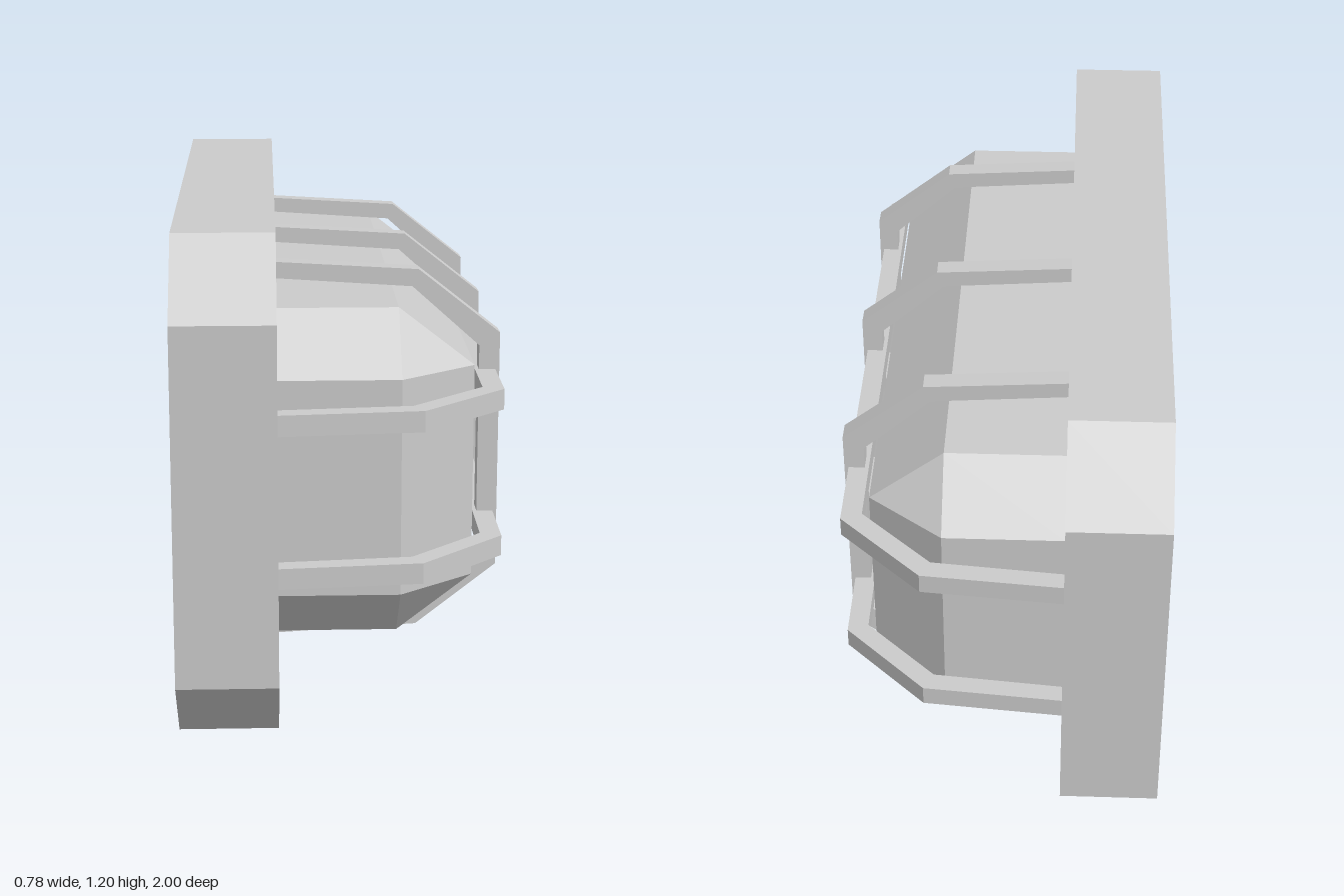
import * as THREE from 'three';

const MID_Y = 0.6;

// Chamfered rectangle across x, running from +y towards +z
function octagon(x, halfY, halfZ, cut) {
  const a = halfY - cut, b = halfZ - cut;
  return [
    [halfY, -b], [halfY, b], [a, halfZ], [-a, halfZ],
    [-halfY, b], [-halfY, -b], [-a, -halfZ], [a, -halfZ],
  ].map(([y, z]) => [x, MID_Y + y, z]);
}

// Flat-shaded skin through successive sections, optionally closed at the end
function loft(sections, capEnd) {
  const pos = [];
  const tri = (a, b, c) => pos.push(...a, ...b, ...c);
  for (let s = 0; s < sections.length - 1; s++) {
    const p = sections[s], q = sections[s + 1];
    for (let i = 0; i < p.length; i++) {
      const j = (i + 1) % p.length;
      tri(p[i], p[j], q[j]);
      tri(p[i], q[j], q[i]);
    }
  }
  if (capEnd) {
    const e = sections[sections.length - 1];
    for (let i = 1; i < e.length - 1; i++) tri(e[0], e[i], e[i + 1]);
  }
  const g = new THREE.BufferGeometry();
  g.setAttribute('position', new THREE.Float32BufferAttribute(pos, 3));
  g.computeVertexNormals();
  return g;
}

// Bent bar: half of its outer and inner outline, mirrored about the middle
function hoop(outer, inner, width) {
  const mirror = (pts) => pts.map(([x, v]) => [x, -v]).reverse();
  const outline = [...outer, ...mirror(outer), ...inner.length ? [...inner, ...mirror(inner)].reverse() : []];
  const shape = new THREE.Shape(outline.map(([x, v]) => new THREE.Vector2(x, v)));
  const g = new THREE.ExtrudeGeometry(shape, { depth: width, bevelEnabled: false });
  return g.translate(0, 0, -width / 2);
}

export function createModel() {
  const group = new THREE.Group();
  const shellMat = new THREE.MeshStandardMaterial({ color: 0xcccccc, flatShading: true, side: THREE.DoubleSide });
  const barMat = new THREE.MeshStandardMaterial({ color: 0xcccccc, flatShading: true });
  const add = (name, geometry, material) => {
    const m = new THREE.Mesh(geometry, material);
    m.name = name;
    group.add(m);
    return m;
  };

  // Mounting frame: open at the back, with a hole in its front face
  add('mountingFrame', loft([
    octagon(-0.395, 0.6, 1, 0.175),
    octagon(-0.157, 0.6, 1, 0.175),
    octagon(-0.157, 0.4, 0.84, 0.14),
  ], false), shellMat);

  // Lamp cover: hollow, reaching back into the frame and tapering at the front
  add('lampCover', loft([
    octagon(-0.35, 0.4, 0.84, 0.14),
    octagon(-0.157, 0.4, 0.84, 0.14),
    octagon(0.13, 0.4, 0.84, 0.14),
    octagon(0.31, 0.26, 0.7, 0),
  ], true), shellMat);

  // Upright guard bars
  const upright = hoop(
    [[-0.157, 0.475], [0.19, 0.455], [0.39, 0.297]],
    [[-0.157, 0.435], [0.175, 0.413], [0.34, 0.265]], 0.05);
  for (const z of [-0.495, 0, 0.495]) add('uprightGuardBar', upright, barMat).position.set(0, MID_Y, z);

  // Lengthwise guard bars
  const lengthwise = hoop(
    [[-0.157, 0.94], [0.178, 0.91], [0.38, 0.715]],
    [[-0.157, 0.893], [0.155, 0.863], [0.33, 0.695]], 0.05).rotateX(-Math.PI / 2);
  for (const y of [0.417, 0.78]) add('lengthwiseGuardBar', lengthwise, barMat).position.y = y;

  return group;
}
